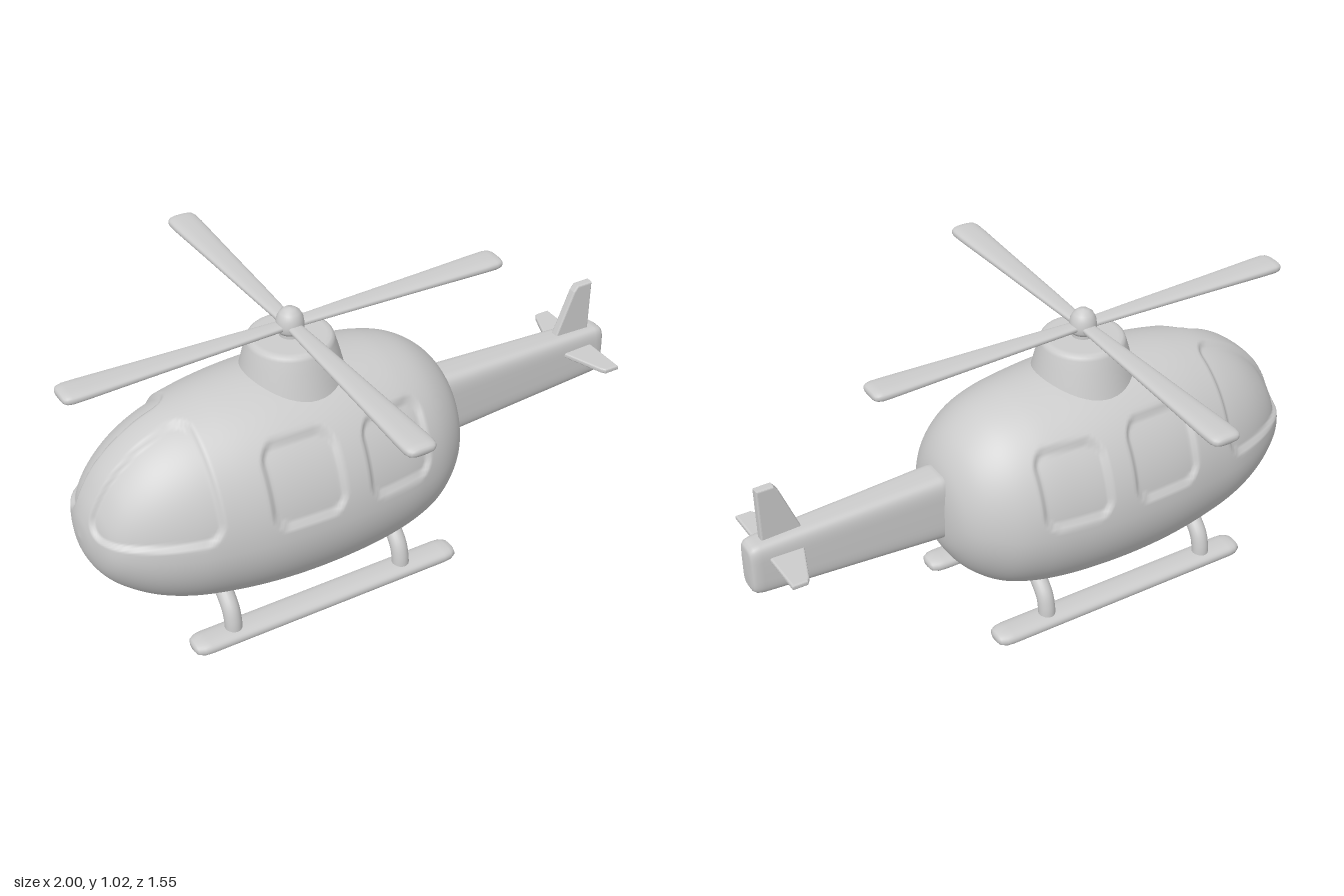
import * as THREE from 'three';

const material = new THREE.MeshStandardMaterial({ color: 0xcccccc, side: THREE.DoubleSide });

// Skin closed rings that run along +x; each section gives x, y, up, down, half width.
function loft(sections, sides, power = 1) {
  const pos = [], index = [];
  const bend = (v) => Math.sign(v) * Math.abs(v) ** power;
  for (const s of sections) {
    for (let j = 0; j < sides; j++) {
      const a = (j / sides) * Math.PI * 2;
      const c = bend(Math.cos(a));
      pos.push(s.x, s.y + c * (c > 0 ? s.up : s.down), bend(Math.sin(a)) * s.w);
    }
  }
  for (let i = 0; i < sections.length - 1; i++) {
    for (let j = 0; j < sides; j++) {
      const k = (j + 1) % sides;
      const a = i * sides + j, b = i * sides + k, c = a + sides, d = b + sides;
      index.push(a, b, c, b, d, c);
    }
  }
  // end caps
  const first = sections[0], last = sections[sections.length - 1];
  const n = pos.length / 3, base = (sections.length - 1) * sides;
  pos.push(first.x, first.y, 0, last.x, last.y, 0);
  for (let j = 0; j < sides; j++) {
    const k = (j + 1) % sides;
    index.push(n, k, j, n + 1, base + j, base + k);
  }
  const g = new THREE.BufferGeometry();
  g.setAttribute('position', new THREE.Float32BufferAttribute(pos, 3));
  g.setIndex(index);
  g.computeVertexNormals();
  return g;
}

// Symmetric section from [x, centre y, half height, half width]
const section = ([x, y, h, w]) => ({ x, y, up: h, down: h, w });

function add(parent, name, geometry) {
  const mesh = new THREE.Mesh(geometry, material);
  mesh.name = name;
  parent.add(mesh);
  return mesh;
}

// Signed distance to a rounded rectangle
function roundedRect(x, y, cx, cy, hw, hh, r) {
  const dx = Math.abs(x - cx) - hw + r, dy = Math.abs(y - cy) - hh + r;
  return Math.hypot(Math.max(dx, 0), Math.max(dy, 0)) + Math.min(Math.max(dx, dy), 0) - r;
}

// Distance to the nearest window outline, negative inside
function windowDistance(x, y, z) {
  const side = Math.min(
    roundedRect(x, y, -0.347, 0.597, 0.122, 0.126, 0.055),
    roundedRect(x, y, -0.01, 0.585, 0.115, 0.12, 0.05));
  const r = 0.06;
  const q = [x + 0.632, 0.475 - y, 0.055 - Math.abs(z)].map((d) => d + r);
  const cockpit = Math.hypot(...q.map((d) => Math.max(d, 0))) + Math.min(Math.max(...q), 0) - r;
  return Math.min(side, cockpit);
}

function fuselage() {
  // x, top, bottom, half width, height of the widest line
  const profile = [
    [-0.985, 0.43, 0.43, 0, 0.43], [-0.975, 0.5, 0.36, 0.07, 0.43],
    [-0.945, 0.575, 0.295, 0.15, 0.43], [-0.89, 0.655, 0.235, 0.205, 0.43],
    [-0.8, 0.73, 0.175, 0.258, 0.425], [-0.69, 0.782, 0.132, 0.298, 0.42],
    [-0.56, 0.812, 0.103, 0.325, 0.42], [-0.43, 0.827, 0.087, 0.344, 0.42],
    [-0.3, 0.832, 0.08, 0.352, 0.42], [-0.17, 0.83, 0.082, 0.352, 0.42],
    [-0.04, 0.82, 0.09, 0.342, 0.42], [0.08, 0.802, 0.11, 0.324, 0.425],
    [0.18, 0.768, 0.145, 0.292, 0.43], [0.26, 0.71, 0.205, 0.238, 0.44],
    [0.31, 0.64, 0.275, 0.175, 0.445], [0.335, 0.56, 0.345, 0.1, 0.45],
    [0.343, 0.45, 0.45, 0, 0.45]];
  const curve = (a, b) => new THREE.CatmullRomCurve3(
    profile.map((p) => new THREE.Vector3(p[0], p[a], p[b])), false, 'catmullrom', 0.5);
  const heights = curve(1, 2), widths = curve(3, 4);
  const rings = [], count = 240;
  for (let i = 0; i <= count; i++) {
    const h = heights.getPoint(i / count), w = widths.getPoint(i / count);
    rings.push({ x: h.x, y: w.z, up: h.y - w.z, down: w.z - h.z, w: w.y });
  }
  const g = loft(rings, 180);
  // sink the window panes below the skin
  const p = g.attributes.position, n = g.attributes.normal;
  for (let i = 0; i < p.count; i++) {
    const x = p.getX(i), y = p.getY(i), z = p.getZ(i);
    const sink = -0.014 * (1 - THREE.MathUtils.smoothstep(windowDistance(x, y, z), -0.008, 0.008));
    p.setXYZ(i, x + n.getX(i) * sink, y + n.getY(i) * sink, z + n.getZ(i) * sink);
  }
  g.computeVertexNormals();
  return g;
}

const lathe = (points, segments = 48) =>
  new THREE.LatheGeometry(points.map(([r, y]) => new THREE.Vector2(r, y)), segments);

// Thin tapered plate with softened edges, outline in x and y
function plate(points, depth) {
  const bevel = 0.006;
  const shape = new THREE.Shape(points.map(([x, y]) => new THREE.Vector2(x, y)));
  const g = new THREE.ExtrudeGeometry(shape, {
    depth: depth - 2 * bevel, bevelSize: bevel, bevelThickness: bevel, bevelOffset: -bevel, bevelSegments: 3,
  });
  return g.translate(0, 0, bevel - depth / 2);
}

export function createModel() {
  const model = new THREE.Group();
  model.name = 'helicopter';
  add(model, 'fuselage', fuselage());

  // Tail
  const tail = new THREE.Group();
  tail.name = 'tail';
  model.add(tail);
  add(tail, 'tailBoom', loft([
    [0.26, 0.476, 0.124, 0.072], [0.34, 0.475, 0.12, 0.07], [0.6, 0.477, 0.108, 0.061],
    [0.96, 0.48, 0.092, 0.05], [0.982, 0.48, 0.088, 0.047], [0.993, 0.48, 0.08, 0.04],
    [0.997, 0.48, 0.068, 0.03]].map(section), 48, 0.45));
  add(tail, 'tailFin', plate([[0.8, 0.55], [0.945, 0.55], [0.947, 0.755], [0.888, 0.755], [0.873, 0.735]], 0.03));
  for (const side of [1, -1]) {
    const wing = add(tail, side > 0 ? 'leftStabilizer' : 'rightStabilizer',
      plate([[0.81, 0.02], [0.937, 0.02], [0.937, 0.207], [0.885, 0.207], [0.873, 0.19]], 0.018));
    wing.rotation.x = side * Math.PI / 2;
    wing.position.y = 0.515;
  }

  // Rotor
  const rotor = new THREE.Group();
  rotor.name = 'rotor';
  rotor.position.x = -0.225;
  model.add(rotor);
  add(rotor, 'mastHousing', lathe([[0.18, 0.76], [0.166, 0.815], [0.152, 0.87], [0.141, 0.908],
    [0.137, 0.919], [0.128, 0.925], [0.115, 0.926], [0, 0.926]]));
  add(rotor, 'mast', new THREE.CylinderGeometry(0.036, 0.036, 0.06, 32).translate(0, 0.94, 0));
  add(rotor, 'hub', lathe([[0, 0.936], [0.038, 0.938], [0.045, 0.95], [0.045, 0.968], [0.042, 0.988],
    [0.033, 1.006], [0.018, 1.018], [0, 1.022]], 32));
  const blade = loft([
    [0.02, 0.962, 0.011, 0.024], [0.2, 0.963, 0.012, 0.032], [0.5, 0.963, 0.015, 0.043],
    [0.7, 0.963, 0.018, 0.051], [0.745, 0.963, 0.019, 0.051], [0.762, 0.963, 0.017, 0.047],
    [0.77, 0.963, 0.013, 0.04], [0.774, 0.963, 0.007, 0.03]].map(section), 32, 0.75);
  for (let i = 0; i < 4; i++) add(rotor, 'rotorBlade', blade).rotation.y = i * Math.PI / 2;

  // Landing gear
  const skid = loft([
    [-0.73, 0.026, 0.01, 0.02], [-0.724, 0.026, 0.018, 0.036], [-0.705, 0.026, 0.024, 0.047],
    [-0.68, 0.026, 0.025, 0.05], [0.2, 0.026, 0.025, 0.05], [0.227, 0.026, 0.024, 0.047],
    [0.246, 0.026, 0.018, 0.036], [0.252, 0.026, 0.01, 0.02]].map(section), 32, 0.85);
  for (const side of [1, -1]) {
    const gear = new THREE.Group();
    gear.name = side > 0 ? 'leftLandingGear' : 'rightLandingGear';
    model.add(gear);
    add(gear, 'skid', skid).position.z = side * 0.23;
    const path = new THREE.CatmullRomCurve3(
      [[0.03, 0.232], [0.075, 0.228], [0.115, 0.215], [0.15, 0.185], [0.185, 0.14]]
        .map(([y, z]) => new THREE.Vector3(0, y, side * z)));
    const strut = new THREE.TubeGeometry(path, 20, 0.029, 20);
    for (const x of [-0.582, 0.05]) add(gear, 'strut', strut).position.x = x;
  }
  return model;
}
